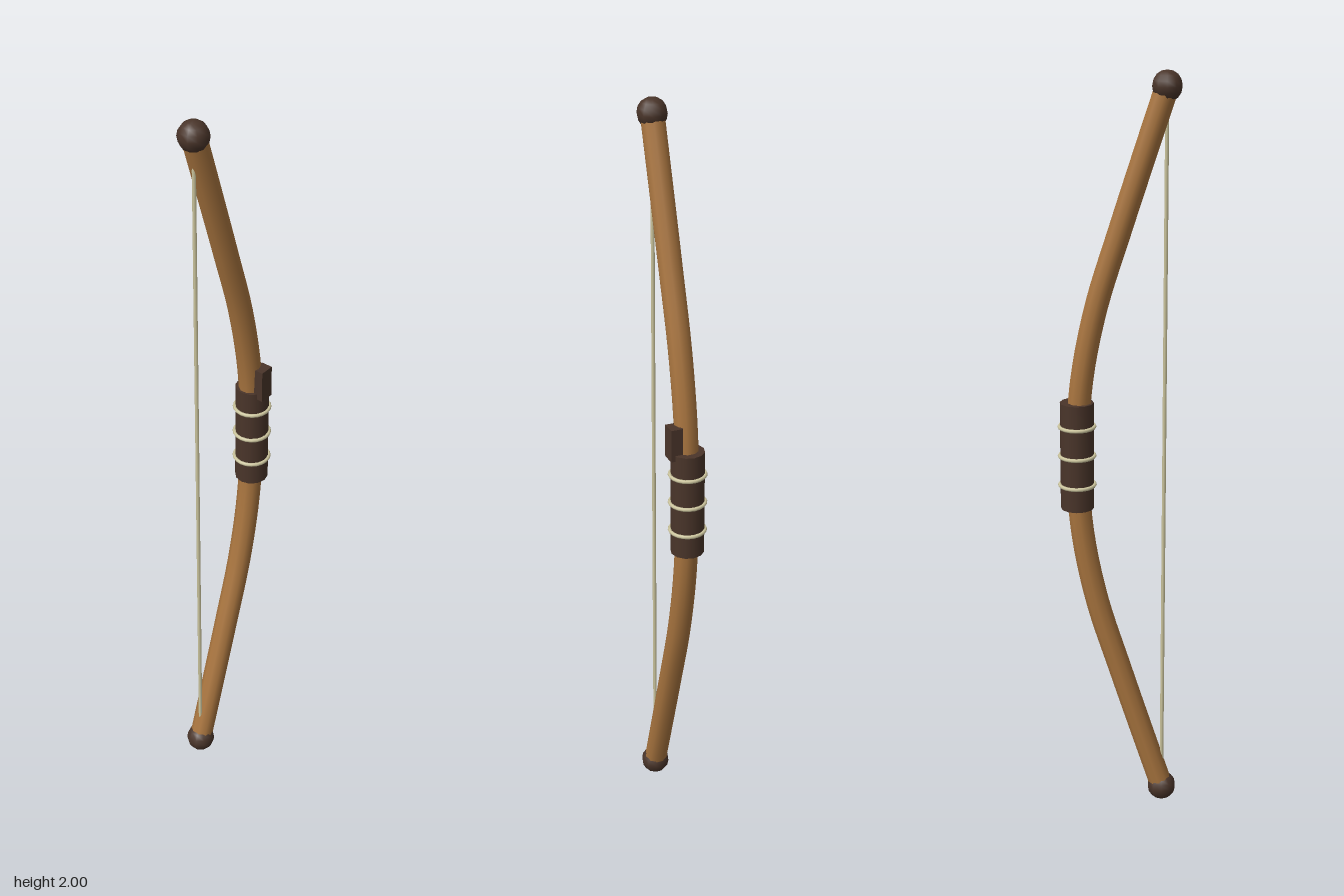
import * as THREE from 'three';

const wood = new THREE.MeshStandardMaterial({ color: 0xa9753f });
const leather = new THREE.MeshStandardMaterial({ color: 0x4a352a });
const cord = new THREE.MeshStandardMaterial({ color: 0xcfc8a0 });

export function createModel() {
  const bow = new THREE.Group();
  bow.name = 'bow';

  const add = (name, geometry, material, x = 0, y = 0, z = 0) => {
    const mesh = new THREE.Mesh(geometry, material);
    mesh.name = name;
    mesh.position.set(x, y, z);
    bow.add(mesh);
    return mesh;
  };

  // Curved stave: half profile [y, z], mirrored about the middle of the grip
  const half = [[0.04, 0.12], [0.2, 0.068], [0.4, 0.004], [0.6, -0.057], [0.8, -0.095]];
  const profile = [...half, [1, -0.106], ...half.map(([y, z]) => [2 - y, z]).reverse()];
  const curve = new THREE.CatmullRomCurve3(profile.map(([y, z]) => new THREE.Vector3(0, y, z)));
  add('stave', new THREE.TubeGeometry(curve, 48, 0.031, 10), wood);

  // Tip caps at both ends
  for (const [name, y] of [['lowerTip', 0.04], ['upperTip', 1.96]]) {
    add(name, new THREE.SphereGeometry(0.039, 10, 8), leather, 0, y, 0.12);
  }

  // Bowstring between the tips
  add('bowstring', new THREE.CylinderGeometry(0.005, 0.005, 1.92, 6), cord, 0, 1, 0.12);

  // Leather grip with cord bindings
  add('grip', new THREE.CylinderGeometry(0.044, 0.044, 0.29, 12), leather, 0, 1.005, -0.107);
  for (const y of [0.925, 1.005, 1.085]) {
    const ring = add('gripBinding', new THREE.TorusGeometry(0.046, 0.005, 6, 20), cord, 0, y, -0.107);
    ring.rotation.x = Math.PI / 2;
  }

  // Arrow rest on the left side above the grip
  add('arrowRest', new THREE.BoxGeometry(0.032, 0.088, 0.04), leather, 0.035, 1.178, -0.102);

  return bow;
}
